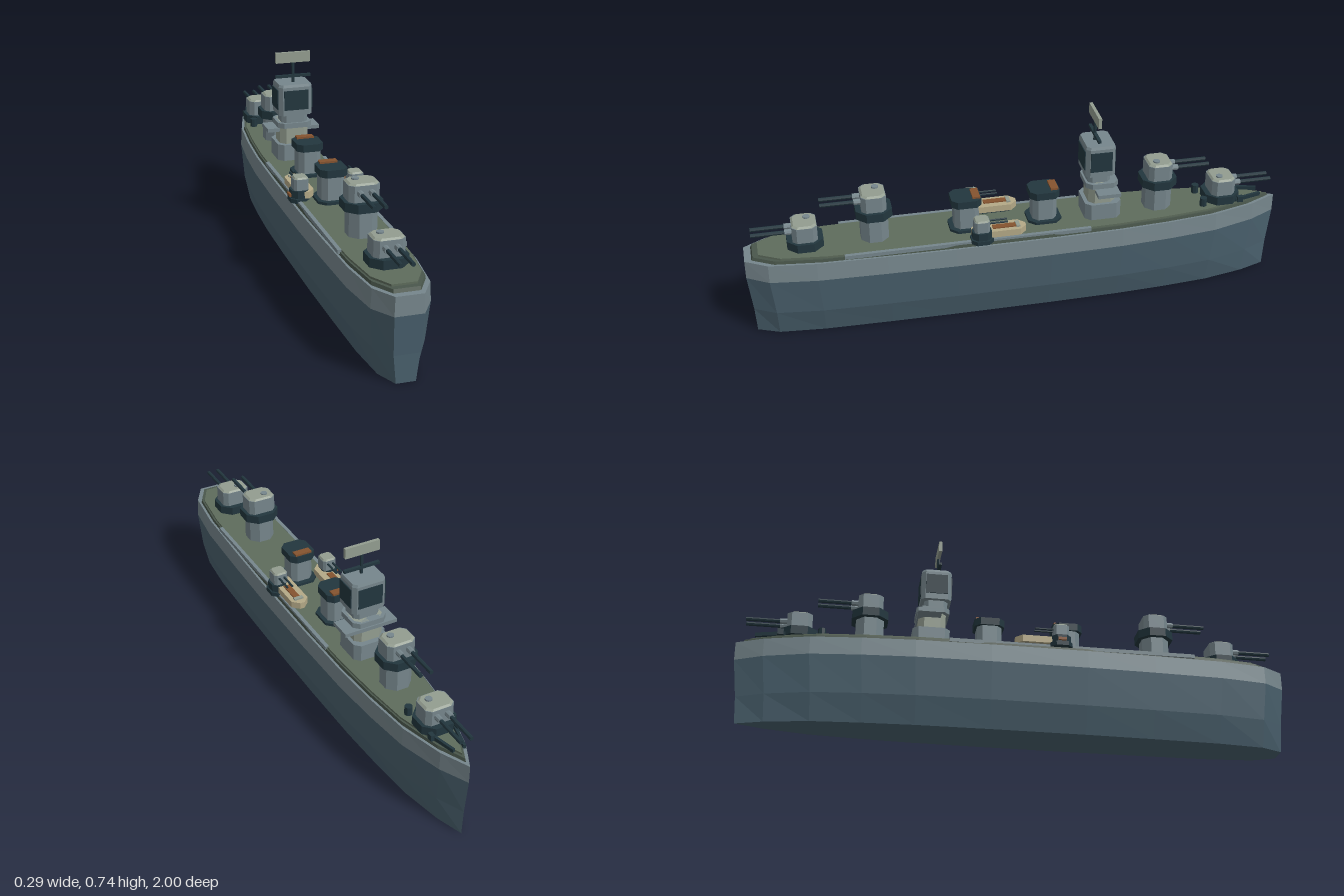
import * as THREE from 'three';

const mat = (name, color) => {
  const m = new THREE.MeshStandardMaterial({ color, flatShading: true });
  m.name = name;
  return m;
};

export function createModel() {
  const M = {
    hull: mat('hull blue grey', 0x4a616e),
    grey: mat('armour grey', 0x76868c),
    dark: mat('dark slate', 0x22363e),
    deck: mat('deck green', 0x5e6c5c),
    rim: mat('deck edge green', 0x4a574c),
    pale: mat('pale grey green', 0x939d90),
    tan: mat('boat tan', 0xb4a987),
    brown: mat('rust brown', 0x85532f),
  };
  const ship = new THREE.Group();
  ship.name = 'warship';

  const add = (parent, name, geo, material, x = 0, y = 0, z = 0) => {
    const m = new THREE.Mesh(geo, material);
    m.name = name;
    m.position.set(x, y, z);
    parent.add(m);
    return m;
  };
  const box = (p, name, material, w, h, d, x, y, z) =>
    add(p, name, new THREE.BoxGeometry(w, h, d), material, x, y, z);

  // Closed loft: one plan outline, stacked at levels [y, scaleX, scaleZ]
  function loft(outline, levels) {
    const pos = [], n = outline.length;
    const at = (l, i) => [outline[i % n][0] * l[1], l[0], outline[i % n][1] * l[2]];
    for (let k = 0; k < levels.length - 1; k++)
      for (let i = 0; i < n; i++) {
        const a = at(levels[k], i), b = at(levels[k], i + 1);
        const d = at(levels[k + 1], i), c = at(levels[k + 1], i + 1);
        pos.push(...a, ...d, ...c, ...a, ...c, ...b);
      }
    const lo = levels[0], hi = levels[levels.length - 1];
    for (let i = 0; i < n; i++) {
      pos.push(0, hi[0], 0, ...at(hi, i + 1), ...at(hi, i));
      pos.push(0, lo[0], 0, ...at(lo, i), ...at(lo, i + 1));
    }
    const g = new THREE.BufferGeometry();
    g.setAttribute('position', new THREE.Float32BufferAttribute(pos, 3));
    g.computeVertexNormals();
    return g;
  }
  // Block with chamfered vertical corners, from y0 to y1, optional taper
  function block(p, name, material, w, d, c, y0, y1, x = 0, z = 0, taper = 1) {
    const a = w / 2, b = d / 2;
    const o = [[-a + c, -b], [a - c, -b], [a, -b + c], [a, b - c],
      [a - c, b], [-a + c, b], [-a, b - c], [-a, -b + c]];
    return add(p, name, loft(o, [[y0, 1, 1], [y1, taper, taper]]), material, x, 0, z);
  }
  const cyl = (p, name, material, r, h, x, y, z, seg = 10) =>
    add(p, name, new THREE.CylinderGeometry(r, r, h, seg), material, x, y, z);

  // Hull: half outline from bow (-z) to stern, mirrored
  const half = [[0.05, -0.9], [0.096, -0.74], [0.117, -0.56], [0.13, -0.37], [0.135, -0.1],
    [0.135, 0.25], [0.13, 0.5], [0.122, 0.75], [0.1, 0.92], [0.05, 1]];
  const plan = [[0, -1], ...half, ...half.map(([x, z]) => [-x, z]).reverse()];
  add(ship, 'lowerHull', loft(plan, [[0, 0.67, 0.98], [0.1, 0.89, 0.985], [0.24, 1, 1]]), M.hull);
  add(ship, 'upperHull', loft(plan, [[0.24, 1, 1], [0.308, 0.96, 1]]), M.grey);
  add(ship, 'deckEdge', loft(plan, [[0.308, 0.9, 0.975], [0.32, 0.89, 0.97]]), M.rim);
  add(ship, 'deck', loft(plan, [[0.32, 0.85, 0.95], [0.327, 0.85, 0.95]]), M.deck);
  for (const s of [-1, 1])
    box(ship, 'sideWalkway', M.grey, 0.014, 0.014, 0.9, s * 0.113, 0.321, 0.2);

  // Main turrets: dir is the way the guns point along z
  function turret(z, dir, raised) {
    const g = new THREE.Group();
    g.name = raised ? 'raisedTurret' : 'deckTurret';
    g.position.z = z;
    if (dir < 0) g.rotation.y = Math.PI;
    const y = raised ? 0.453 : 0.36;
    if (raised) block(g, 'barbette', M.grey, 0.1, 0.1, 0.028, 0.325, 0.425);
    block(g, 'turretRing', M.dark, 0.134, 0.13, 0.035, y - 0.032, y);
    block(g, 'gunHouse', M.grey, 0.108, 0.09, 0.016, y, y + 0.058);
    block(g, 'houseRoof', M.pale, 0.106, 0.088, 0.018, y + 0.058, y + 0.064, 0, 0, 0.86);
    cyl(g, 'roofHatch', M.grey, 0.013, 0.006, -0.018, y + 0.066, -0.012);
    for (const s of [-1, 1]) {
      const socket = cyl(g, 'gunSocket', M.grey, 0.011, 0.03, s * 0.02, y + 0.034, 0.055, 8);
      const gun = cyl(g, 'gunBarrel', M.dark, 0.0075, 0.15, s * 0.02, y + 0.034, 0.115, 8);
      socket.rotation.x = gun.rotation.x = Math.PI / 2;
    }
    ship.add(g);
  }
  turret(0.78, 1, false);
  turret(0.53, 1, true);
  turret(-0.53, -1, true);
  turret(-0.78, -1, false);

  // Funnels
  for (const z of [-0.095, 0.195]) {
    const g = new THREE.Group();
    g.name = 'funnel';
    g.position.z = z;
    block(g, 'funnelBase', M.dark, 0.115, 0.125, 0.025, 0.325, 0.337);
    block(g, 'funnelBody', M.grey, 0.085, 0.09, 0.018, 0.337, 0.425);
    block(g, 'funnelCap', M.dark, 0.1, 0.11, 0.02, 0.425, 0.453);
    box(g, 'funnelVent', M.brown, 0.065, 0.008, 0.028, 0, 0.456, -0.036);
    ship.add(g);
  }

  // Bridge tower
  const tower = new THREE.Group();
  tower.name = 'bridgeTower';
  tower.position.z = -0.295;
  block(tower, 'towerBase', M.grey, 0.135, 0.135, 0.02, 0.325, 0.39, 0, -0.015);
  block(tower, 'towerMiddle', M.pale, 0.11, 0.1, 0.02, 0.39, 0.475, 0, -0.012);
  box(tower, 'bridgeWings', M.grey, 0.205, 0.014, 0.085, 0, 0.442, -0.025);
  block(tower, 'towerLedge', M.grey, 0.13, 0.12, 0.02, 0.455, 0.475, 0, -0.01);
  block(tower, 'towerNeck', M.grey, 0.1, 0.085, 0.015, 0.475, 0.507);
  block(tower, 'bridgeHead', M.grey, 0.13, 0.11, 0.014, 0.507, 0.617);
  block(tower, 'bridgeRoof', M.grey, 0.13, 0.11, 0.014, 0.617, 0.627, 0, 0, 0.94);
  for (const s of [-1, 1]) {
    box(tower, 'endWindow', M.dark, 0.094, 0.076, 0.008, 0, 0.567, s * 0.054);
    box(tower, 'sideWindow', M.dark, 0.008, 0.076, 0.08, s * 0.0645, 0.567, 0);
  }
  cyl(tower, 'mast', M.dark, 0.006, 0.085, 0, 0.665, 0.01, 8);
  box(tower, 'mastYard', M.dark, 0.138, 0.01, 0.012, 0, 0.651, 0.01);
  box(tower, 'radarPanel', M.pale, 0.134, 0.04, 0.012, 0, 0.724, 0.01);
  ship.add(tower);

  // Side boats and secondary gun mounts
  for (const s of [-1, 1]) {
    const g = new THREE.Group();
    g.name = 'sideStation';
    block(g, 'boatCradle', M.dark, 0.045, 0.16, 0.01, 0.322, 0.337, s * 0.085, 0.09);
    block(g, 'boatHull', M.tan, 0.066, 0.2, 0.024, 0.335, 0.36, s * 0.087, 0.09);
    box(g, 'boatSeats', M.brown, 0.024, 0.006, 0.085, s * 0.09, 0.361, 0.07);
    box(g, 'boatThwart', M.pale, 0.036, 0.008, 0.014, s * 0.088, 0.362, 0.02);
    block(g, 'mountPlatform', M.dark, 0.07, 0.08, 0.018, 0.32, 0.336, s * 0.107, 0.155);
    block(g, 'mountRing', M.dark, 0.062, 0.07, 0.018, 0.336, 0.364, s * 0.106, 0.155);
    block(g, 'mountHouse', M.grey, 0.054, 0.056, 0.009, 0.364, 0.405, s * 0.102, 0.155);
    block(g, 'mountRoof', M.pale, 0.052, 0.054, 0.009, 0.405, 0.411, s * 0.102, 0.155, 0.85);
    for (const e of [-1, 1]) {
      const gun = cyl(g, 'mountBarrel', M.dark, 0.004, 0.08, s * 0.102 + e * 0.01, 0.392, 0.1, 6);
      gun.rotation.x = Math.PI / 2;
    }
    ship.add(g);
  }
  box(ship, 'lifeRaft', M.brown, 0.012, 0.01, 0.03, -0.139, 0.345, 0.155);

  // Bow fittings: winches and breakwaters
  for (const s of [-1, 1]) {
    cyl(ship, 'winch', M.dark, 0.014, 0.035, s * 0.05, 0.342, -0.7, 8);
    const wall = box(ship, 'breakwater', M.dark, 0.01, 0.014, 0.11, s * 0.034, 0.333, -0.88);
    wall.rotation.y = s * 0.25;
    box(ship, 'bollard', M.dark, 0.016, 0.022, 0.022, s * 0.05, 0.337, -0.845);
  }
  return ship;
}
